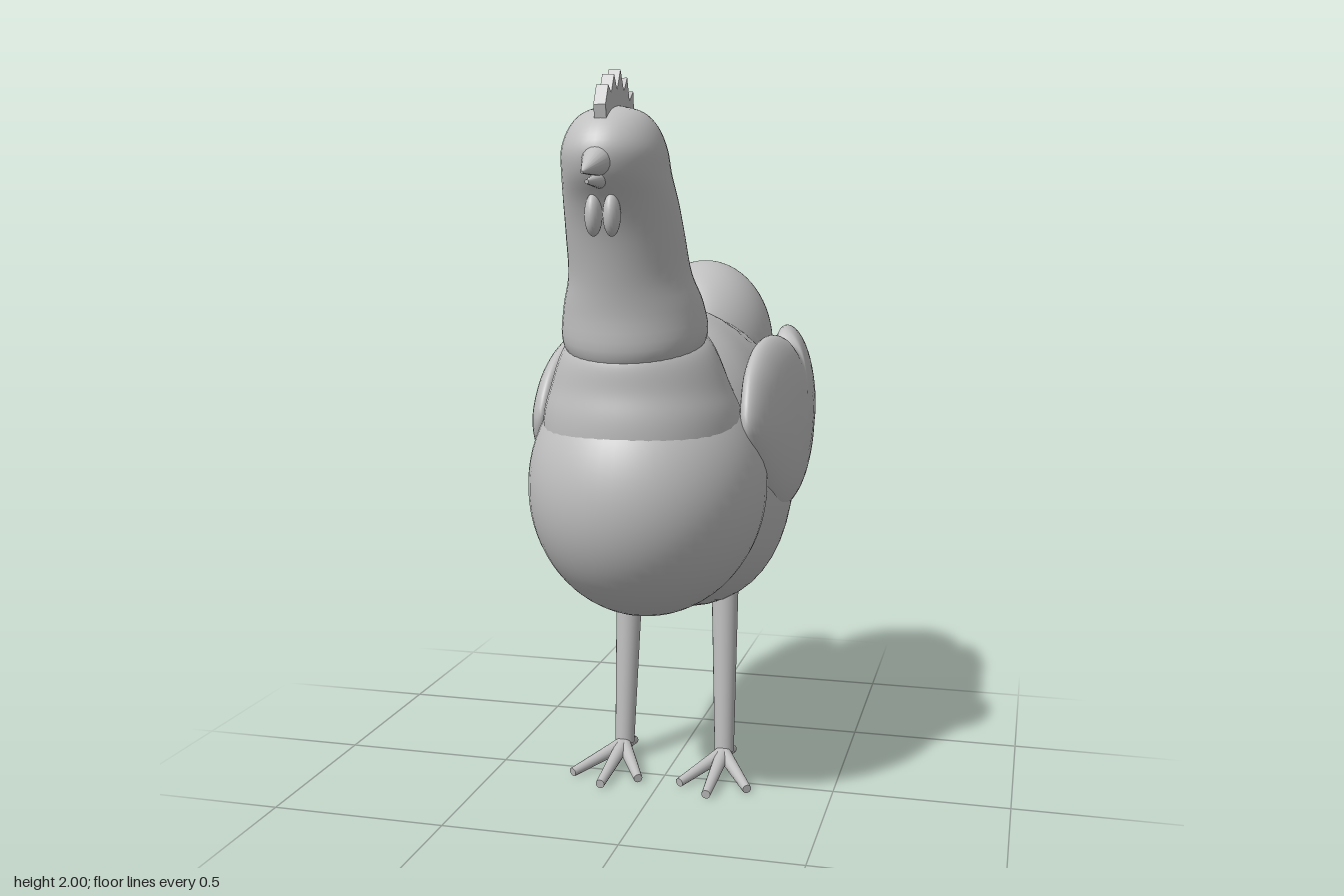
import * as THREE from 'three';

const plain = new THREE.MeshStandardMaterial({ color: 0xc0c0c0 });
plain.name = 'plainGrey';

// Catmull-Rom interpolation through rows of numbers, t in 0..1
function sampleRows(rows, t) {
  const f = t * (rows.length - 1);
  const i = Math.min(Math.floor(f), rows.length - 2), u = f - i;
  const at = k => rows[Math.max(0, Math.min(rows.length - 1, k))];
  return rows[0].map((_, j) => {
    const a = at(i - 1)[j], b = at(i)[j], c = at(i + 1)[j], d = at(i + 2)[j];
    return b + 0.5 * u * (c - a + u * (2 * a - 5 * b + 4 * c - d + u * (3 * (b - c) + d - a)));
  });
}

// Closed rings joined into a smooth skin; point(u, v) returns [x, y, z]
function loft(rings, sides, point) {
  const pos = [], index = [];
  for (let r = 0; r <= rings; r++)
    for (let s = 0; s < sides; s++) pos.push(...point(s / sides, r / rings));
  for (let r = 0; r < rings; r++)
    for (let s = 0; s < sides; s++) {
      const n = (s + 1) % sides;
      const a = r * sides + s, b = r * sides + n, c = a + sides, d = b + sides;
      index.push(a, c, b, b, c, d);
    }
  const g = new THREE.BufferGeometry();
  g.setAttribute('position', new THREE.Float32BufferAttribute(pos, 3));
  g.setIndex(index);
  g.computeVertexNormals();
  return g;
}

function add(group, name, geometry) {
  const mesh = new THREE.Mesh(geometry, plain);
  mesh.name = name;
  group.add(mesh);
  return mesh;
}

const ellipsoid = (x, y, z, rx, ry, rz, n = 40) =>
  new THREE.SphereGeometry(1, n, Math.round(n * 0.7)).scale(rx, ry, rz).translate(x, y, z);

// Tapered rod between two points
function rod(from, to, r0, r1, sides = 14) {
  const a = new THREE.Vector3(...from), b = new THREE.Vector3(...to);
  const dir = b.clone().sub(a);
  const g = new THREE.CylinderGeometry(r1, r0, dir.length(), sides);
  g.applyQuaternion(new THREE.Quaternion().setFromUnitVectors(
    new THREE.Vector3(0, 1, 0), dir.clone().normalize()));
  const mid = a.add(b).multiplyScalar(0.5);
  return g.translate(mid.x, mid.y, mid.z);
}

// Upright column; rows are [y, frontZ, backZ, halfWidth, tilt]
function column(rows) {
  return loft(44, 40, (u, v) => {
    const [y, front, back, w, tilt] = sampleRows(rows, v);
    const a = u * Math.PI * 2, dz = (front - back) / 2 * Math.sin(a);
    return [w * Math.cos(a), y - tilt * dz, (front + back) / 2 + dz];
  });
}

// Trunk rows are [z, bottom, top, halfWidth], front to back
function trunk() {
  const rows = [
    [0.36, 0.80, 1.10, 0.10], [0.28, 0.63, 1.28, 0.24], [0.1, 0.555, 1.385, 0.315],
    [-0.1, 0.497, 1.388, 0.33], [-0.25, 0.487, 1.36, 0.33], [-0.4, 0.54, 1.33, 0.31],
    [-0.55, 0.64, 1.25, 0.265], [-0.65, 0.735, 1.15, 0.2], [-0.7, 0.83, 1.04, 0.11],
    [-0.715, 0.92, 0.94, 0.01],
  ];
  return loft(54, 48, (u, v) => {
    const [z, bottom, top, w] = sampleRows(rows, v);
    const a = u * Math.PI * 2, c = Math.cos(a), s = Math.sin(a);
    // squarer belly, rounder back
    const p = s < 0 ? 0.82 : 1;
    const bend = k => Math.sign(k) * Math.abs(k) ** p;
    return [w * bend(c), (bottom + top) / 2 + (top - bottom) / 2 * bend(s), z];
  });
}

// Cushion-shaped wing from its side outline in [z, y]
function wing(side) {
  const outline = new THREE.CatmullRomCurve3([
    [0.26, 1.1], [0.2, 1.21], [0.1, 1.27], [0, 1.297], [-0.13, 1.305], [-0.25, 1.29],
    [-0.335, 1.262], [-0.39, 1.3], [-0.5, 1.305], [-0.61, 1.265], [-0.68, 1.19],
    [-0.72, 1.1], [-0.7, 1.035], [-0.64, 0.99], [-0.62, 0.92], [-0.56, 0.835],
    [-0.45, 0.78], [-0.3, 0.77], [-0.15, 0.79], [0, 0.845], [0.1, 0.905], [0.2, 0.995],
  ].map(([z, y]) => new THREE.Vector3(0, y, z)), true);
  const edge = outline.getPoints(88);
  return loft(24, 88, (u, v) => {
    const k = Math.round(u * 88);
    const p = edge[side > 0 ? k : (88 - k) % 88];
    const a = (v - 0.5) * Math.PI;
    const s = Math.sqrt(Math.max(Math.cos(a), 1e-6));
    const y = 1.04 + (p.y - 1.04) * s, z = -0.23 + (p.z + 0.23) * s;
    const bow = 0.318 - 0.5 * (y - 1.03) ** 2 - 0.14 * (z + 0.2) ** 2;
    return [side * (bow + 0.054 * Math.sin(a)), y, z];
  });
}

function comb() {
  const shape = new THREE.Shape([
    [0.61, 1.84], [0.625, 1.91], [0.6, 1.957], [0.575, 1.94], [0.55, 1.985], [0.525, 1.95],
    [0.495, 2.0], [0.465, 1.95], [0.435, 1.985], [0.415, 1.93], [0.38, 1.955],
    [0.37, 1.89], [0.345, 1.885], [0.32, 1.82], [0.36, 1.79],
  ].map(([z, y]) => new THREE.Vector2(-z, y)));
  return new THREE.ExtrudeGeometry(shape, { depth: 0.03, bevelEnabled: false })
    .translate(0, 0, -0.015).rotateY(Math.PI / 2);
}

export function createModel() {
  const hen = new THREE.Group();
  hen.name = 'hen';

  // Body masses
  add(hen, 'trunk', trunk());
  add(hen, 'breast', ellipsoid(0, 0.92, 0.18, 0.325, 0.365, 0.37, 56));
  add(hen, 'tail', ellipsoid(0, 1.232, -0.515, 0.212, 0.268, 0.255, 48));
  add(hen, 'shoulders', column([
    [0.9, 0.49, -0.1, 0.28, 0], [1.1, 0.508, -0.05, 0.27, 0], [1.2, 0.497, 0.02, 0.24, 0],
    [1.31, 0.488, 0.08, 0.195, 0.1], [1.37, 0.43, 0.13, 0.13, 0.15],
  ]));

  // Neck and head in one skin
  add(hen, 'neckAndHead', column([
    [1.27, 0.46, 0.16, 0.15, 0.19], [1.335, 0.5, 0.125, 0.19, 0.19],
    [1.42, 0.51, 0.148, 0.182, 0.12], [1.5, 0.53, 0.19, 0.158, 0.05],
    [1.6, 0.565, 0.24, 0.15, 0], [1.68, 0.605, 0.275, 0.143, 0],
    [1.75, 0.655, 0.3, 0.133, 0], [1.81, 0.667, 0.325, 0.127, 0],
    [1.865, 0.635, 0.365, 0.105, 0], [1.9, 0.58, 0.42, 0.068, 0],
    [1.916, 0.505, 0.495, 0.005, 0],
  ]));

  // Face
  add(hen, 'comb', comb());
  add(hen, 'upperBeak', rod([0, 1.782, 0.635], [0, 1.75, 0.768], 0.042, 0.003, 20));
  add(hen, 'lowerBeak', rod([0, 1.735, 0.62], [0, 1.729, 0.732], 0.022, 0.005, 16));

  for (const side of [1, -1]) {
    const label = side > 0 ? 'left' : 'right';
    add(hen, label + 'Wattle', ellipsoid(side * 0.023, 1.652, 0.605, 0.021, 0.052, 0.032, 20));
    add(hen, label + 'Wing', wing(side));

    // Leg with three front toes and one back toe
    const leg = new THREE.Group();
    leg.name = label + 'Leg';
    hen.add(leg);
    add(leg, 'shank', rod([side * 0.147, 0.56, -0.148], [side * 0.155, 0.055, -0.113], 0.04, 0.029, 20));
    const ankle = [side * 0.155, 0.052, -0.1];
    const toes = {
      middleToe: [0.157, 0.018, 0.145], outerToe: [0.262, 0.017, 0.075],
      innerToe: [0.062, 0.017, 0.075], backToe: [0.157, 0.017, -0.228],
    };
    for (const [name, [x, y, z]] of Object.entries(toes))
      add(leg, name, rod(ankle, [side * x, y, z], 0.022, 0.013));
  }
  return hen;
}
